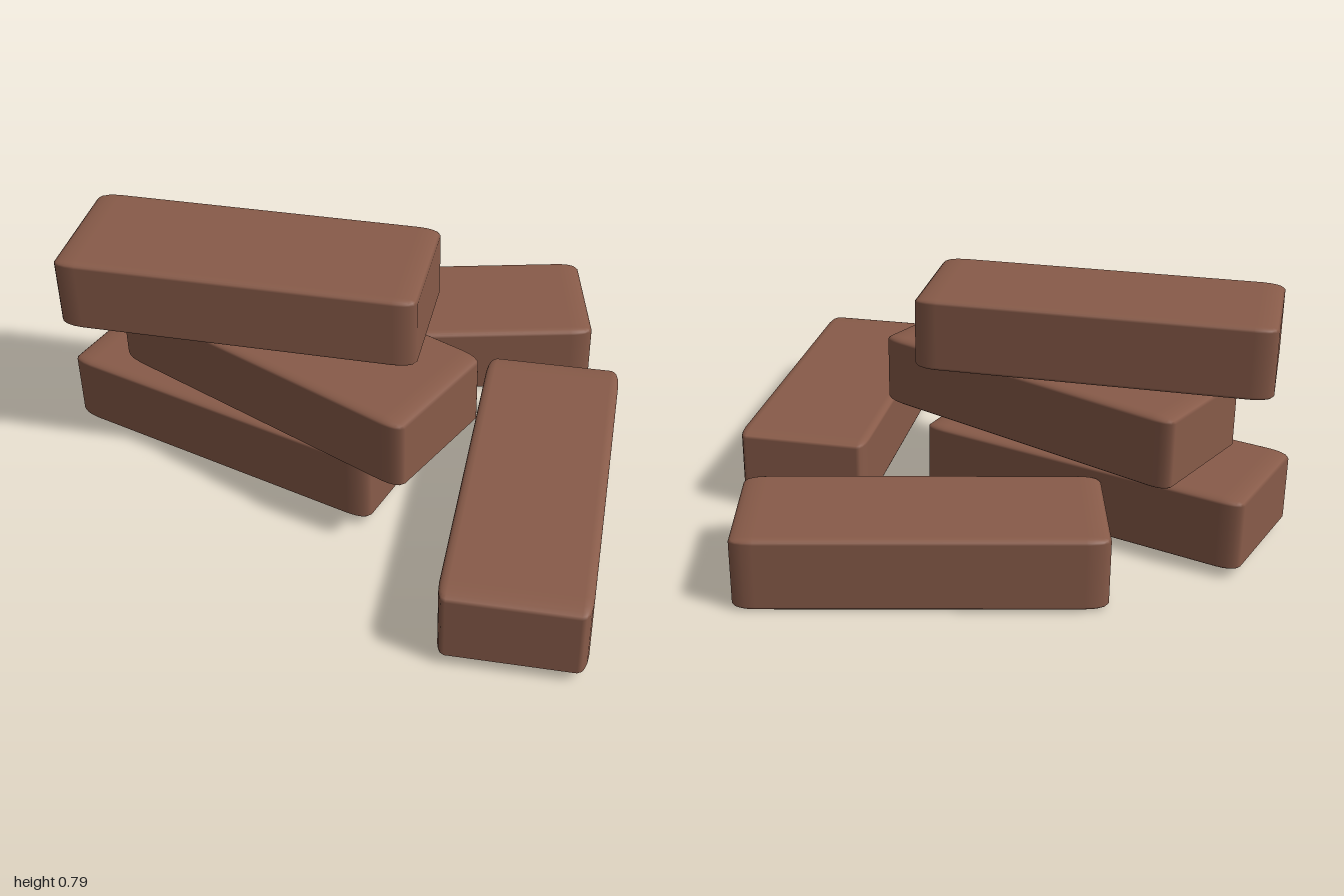
import * as THREE from 'three';
import { RoundedBoxGeometry } from 'three/addons/geometries/RoundedBoxGeometry.js';

const LENGTH = 1.145, HEIGHT = 0.245, WIDTH = 0.44;

export function createModel() {
  const group = new THREE.Group();
  group.name = 'brickPile';

  const clay = new THREE.MeshStandardMaterial({ color: 0x885b49 });
  clay.name = 'clay brown';

  // One brick: a rounded unit cube stretched, so the bevel is longer along the length
  const brick = new RoundedBoxGeometry(1, 1, 1, 2, 0.065);
  brick.scale(LENGTH, HEIGHT, WIDTH);

  // name, centre x, underside y, centre z, turn in degrees
  const bricks = [
    ['bottomBrick', -0.428, 0.025, 0.275, 0],
    ['middleBrick', -0.24, 0.28, 0.275, -7.2],
    ['topBrick', -0.395, 0.54, 0.275, 17.5],
    ['leftBrick', 0.617, 0.025, 0.275, -71.4],
    ['backBrick', -0.135, 0, -0.415, 31],
  ];
  for (const [name, x, y, z, turn] of bricks) {
    const mesh = new THREE.Mesh(brick, clay);
    mesh.name = name;
    mesh.position.set(x, y + HEIGHT / 2, z);
    mesh.rotation.y = THREE.MathUtils.degToRad(turn);
    group.add(mesh);
  }
  return group;
}
